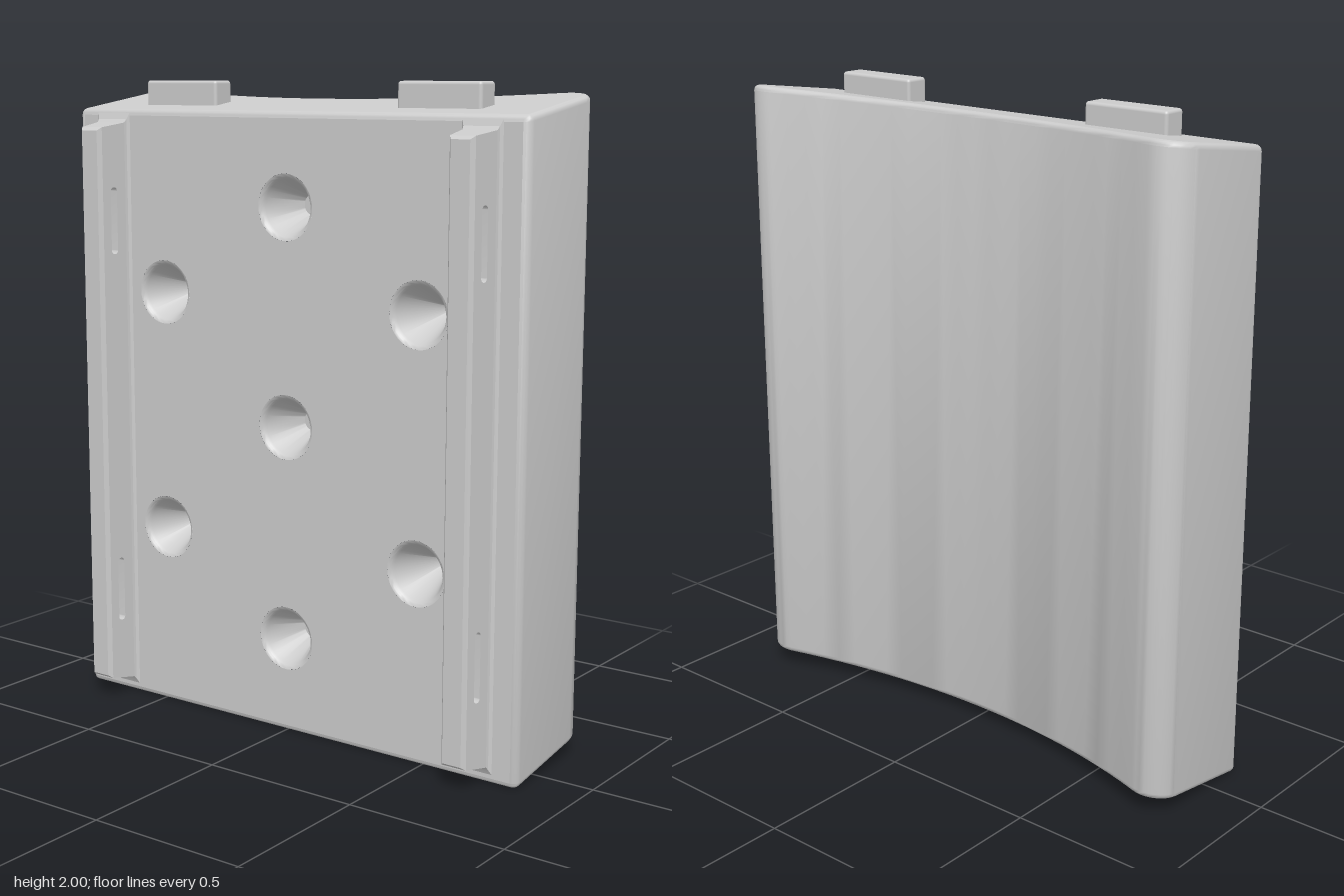
import * as THREE from 'three';
import { toCreasedNormals } from 'three/addons/utils/BufferGeometryUtils.js';
import { RoundedBoxGeometry } from 'three/addons/geometries/RoundedBoxGeometry.js';

const material = new THREE.MeshStandardMaterial({ color: 0xcccccc });

const HALF = 0.825, FRONT = 0.135, HEIGHT = 1.91, BEVEL = 0.018;
const slant = z => 0.15 * (FRONT - z); // ends rise toward the back

function add(group, name, geometry, x = 0, y = 0, z = 0) {
  const mesh = new THREE.Mesh(geometry, material);
  mesh.name = name;
  mesh.position.set(x, y, z);
  group.add(mesh);
  return mesh;
}

// Skin between closed loops of [x, y, z]; skip(i, j) leaves a quad open
function loft(rows, skip = () => false, crease = 0.6) {
  const pos = [], n = rows[0].length;
  for (let i = 0; i < rows.length - 1; i++) {
    for (let j = 0; j < n; j++) {
      if (skip(i, j)) continue;
      const k = (j + 1) % n;
      const a = rows[i][j], b = rows[i][k], c = rows[i + 1][k], d = rows[i + 1][j];
      pos.push(...a, ...b, ...c, ...a, ...c, ...d);
    }
  }
  const g = new THREE.BufferGeometry();
  g.setAttribute('position', new THREE.Float32BufferAttribute(pos, 3));
  g.computeVertexNormals();
  return toCreasedNormals(g, crease);
}

// Plan outline [x, z], inset by t: small front corners, round back corners, concave back
function outline(t) {
  const half = [], c = 0.022, cx = 0.745, cz = -0.18, r = 0.08;
  const R = 1.975, arcZ = -0.12 - R, phi = Math.atan2(cx, cz - arcZ);
  for (let i = 0; i <= 4; i++) {
    const a = i / 4 * Math.PI / 2;
    half.push([HALF - c + (c - t) * Math.sin(a), FRONT - c + (c - t) * Math.cos(a)]);
  }
  for (let i = 0; i <= 10; i++) {
    const a = i / 10 * (Math.PI / 2 + phi);
    half.push([cx + (r - t) * Math.cos(a), cz - (r - t) * Math.sin(a)]);
  }
  for (let i = 1; i <= 12; i++) {
    const a = phi * (1 - i / 12);
    half.push([(R + t) * Math.sin(a), arcZ + (R + t) * Math.cos(a)]);
  }
  const mirrored = half.slice(0, -1).reverse().map(([x, z]) => [-x, z]);
  return [...half, ...mirrored];
}

const rect = (w, y0, y1, z) => [[-w, y0, z], [w, y0, z], [w, y1, z], [-w, y1, z]];

// Slanted end cap, optionally facing down and with holes
function endCap(base, down, holes = []) {
  const shape = new THREE.Shape(outline(BEVEL).map(([x, z]) => new THREE.Vector2(x, -z)));
  shape.holes.push(...holes);
  const g = new THREE.ShapeGeometry(shape).rotateX(-Math.PI / 2);
  const p = g.attributes.position;
  for (let i = 0; i < p.count; i++) p.setY(i, base + slant(p.getZ(i)));
  if (down) g.setIndex(Array.from(g.index.array).reverse());
  g.computeVertexNormals();
  return g;
}

// Conical recess opening toward +z
function pitGeometry(tip, depth) {
  const profile = [[0.1, 0], [0.094, -0.002], [0.089, -0.007], [0.084, -0.015],
    [tip, -depth], [0, -depth]].map(p => new THREE.Vector2(...p));
  return toCreasedNormals(new THREE.LatheGeometry(profile, 40).rotateX(Math.PI / 2), 0.6);
}

// Tapered rail with two rounded slots cut through it sideways
function makeRail() {
  const rail = new THREE.Group();
  const z0 = 0.15, z1 = 0.237, w0 = 0.0555, w1 = 0.041;
  const side = new THREE.Shape([[z0, 0.055], [z1, 0.07], [z1, 1.857], [z0, 1.87]]
    .map(p => new THREE.Vector2(...p)));
  for (const y of [0.365, 1.565]) {
    const r = 0.012, h = 0.093, slot = new THREE.Path();
    slot.absarc(0.195, y + h, r, 0, Math.PI);
    slot.absarc(0.195, y - h, r, Math.PI, Math.PI * 2);
    slot.closePath();
    side.holes.push(slot);
  }
  const g = new THREE.ExtrudeGeometry(side, { depth: 2, bevelEnabled: false, curveSegments: 8 });
  g.translate(0, 0, -1).rotateY(-Math.PI / 2);
  const p = g.attributes.position;
  for (let i = 0; i < p.count; i++) {
    const k = (p.getZ(i) - z0) / (z1 - z0);
    p.setX(i, p.getX(i) * (w0 + (w1 - w0) * k));
  }
  add(rail, 'railWeb', toCreasedNormals(g, 0.5));
  add(rail, 'railFoot', loft([rect(0.066, 0.03, 1.9, FRONT), rect(0.058, 0.045, 1.88, 0.142),
    rect(w0, 0.055, 1.87, z0)], undefined, 0.3));
  add(rail, 'railTip', loft([rect(w1, 0.07, 1.857, z1), rect(0.031, 0.08, 1.847, 0.25),
    rect(0, 0.96, 0.96, 0.25)], undefined, 0.3));
  return rail;
}

export function createModel() {
  const model = new THREE.Group();
  model.name = 'curvedPanel';

  // Body wall with rounded end edges; the front is left open for the pitted face
  const steps = 4, ends = [];
  for (let i = 0; i <= steps; i++) {
    const a = i / steps * Math.PI / 2;
    ends.push([BEVEL * (1 - Math.sin(a)), BEVEL * (1 - Math.cos(a))]);
  }
  const ring = (t, y) => outline(t).map(([x, z]) => [x, y + slant(z), z]);
  const rows = [
    ...ends.map(([t, y]) => ring(t, y)),
    ...ends.slice().reverse().map(([t, y]) => ring(t, HEIGHT - y)),
  ];
  // ring heights: the edge starts inset at the end plane and reaches full size one bevel inward
  const last = rows[0].length - 1;
  add(model, 'bodyWall', loft(rows, (i, j) => i === steps && j === last));

  // Front face with conical recesses
  const fx = HALF - 0.022;
  const face = new THREE.Shape([[-fx, BEVEL], [fx, BEVEL], [fx, HEIGHT - BEVEL], [-fx, HEIGHT - BEVEL]]
    .map(p => new THREE.Vector2(...p)));
  const pits = [1.63, 0.965, 0.3].map(y => [0, y, 0.031, 0.14]);
  for (const x of [-0.475, 0.475]) for (const y of [1.345, 0.585]) pits.push([x, y, 0.014, 0.17]);
  for (const [x, y, tip, depth] of pits) {
    face.holes.push(new THREE.Path().absarc(x, y, 0.1, 0, Math.PI * 2));
    add(model, 'conicalRecess', pitGeometry(tip, depth), x, y, FRONT);
  }
  add(model, 'frontFace', new THREE.ShapeGeometry(face, 40), 0, 0, FRONT);

  // Top tabs, matching bottom sockets, and front rails
  const sockets = [];
  for (const s of [1, -1]) {
    const x = s * 0.476, z = 0.006, w = 0.15, d = 0.046, top = 0.12;
    add(model, 'topTab', new RoundedBoxGeometry(0.282, 0.14, 0.078, 3, 0.01), x, 1.93, z);

    const corners = [[x - w, z + d], [x - w, z - d], [x + w, z - d], [x + w, z + d]];
    sockets.push(new THREE.Path(corners.map(([px, pz]) => new THREE.Vector2(px, -pz))));
    add(model, 'bottomSocket', loft([
      corners.map(([px, pz]) => [px, slant(pz), pz]),
      corners.map(([px, pz]) => [px, top, pz]),
      corners.map(() => [x, top, z]),
    ]));

    const rail = makeRail();
    rail.name = s > 0 ? 'leftRail' : 'rightRail';
    rail.position.x = s * 0.677;
    model.add(rail);
  }
  add(model, 'topCap', endCap(HEIGHT, false));
  add(model, 'bottomCap', endCap(0, true, sockets));

  return model;
}
